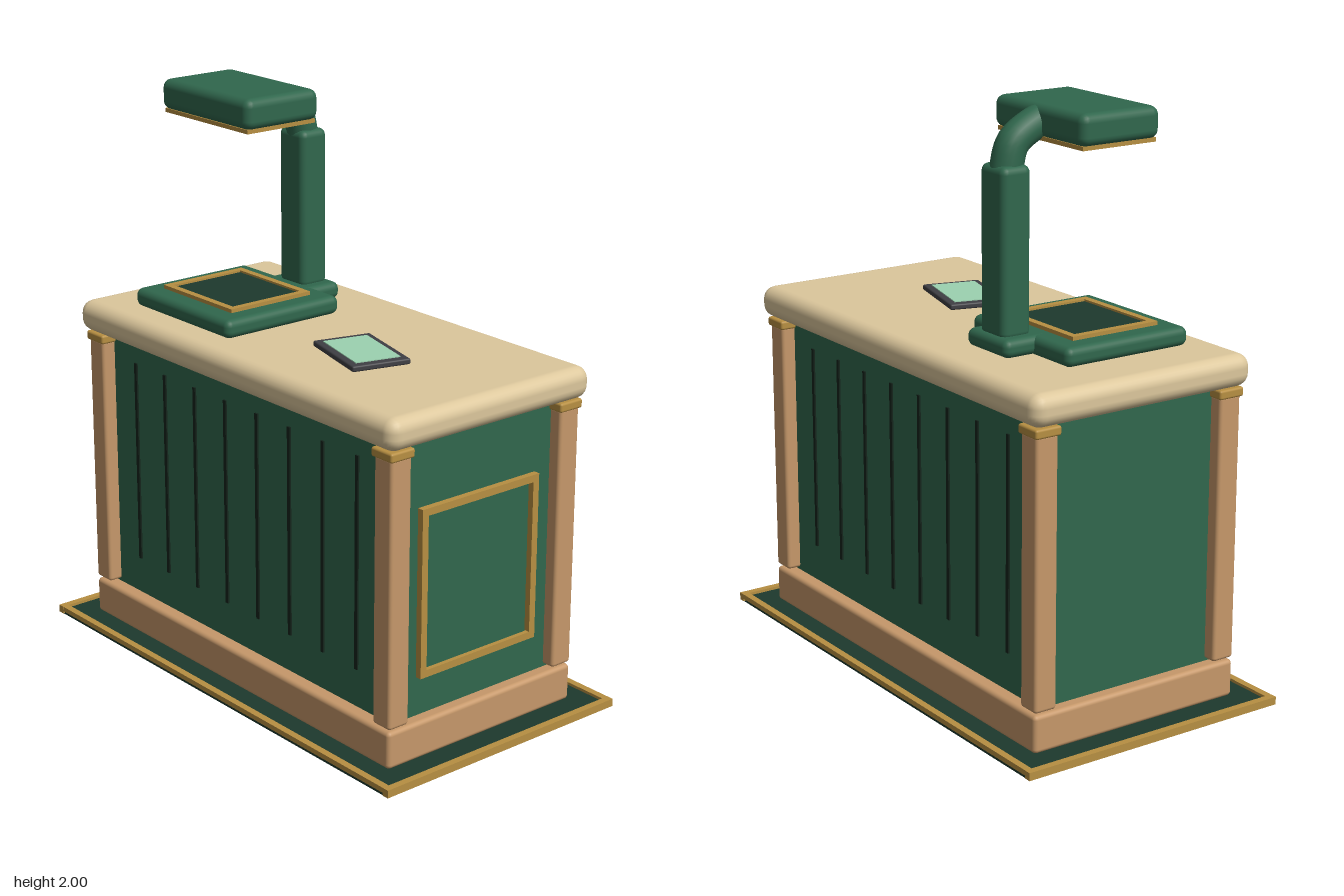
import * as THREE from 'three';
import { RoundedBoxGeometry } from 'three/addons/geometries/RoundedBoxGeometry.js';

const mat = (name, color) => {
  const m = new THREE.MeshStandardMaterial({ color });
  m.name = name;
  return m;
};

export function createModel() {
  const green = mat('green enamel', 0x30674d);
  const darkGreen = mat('dark green', 0x1d392d);
  const groove = mat('groove black green', 0x14231b);
  const cream = mat('cream stone', 0xdcc79c);
  const wood = mat('oak', 0xc6986a);
  const brass = mat('brass', 0xb78f42);
  const charcoal = mat('charcoal', 0x3f3f44);
  const mint = mat('mint glass', 0x9cd2b0);

  const model = new THREE.Group();
  model.name = 'counter';

  // Box from [min, max] on each axis, rounded when r > 0
  function box(name, material, [x0, x1], [y0, y1], [z0, z1], r = 0, parent = model) {
    const size = [x1 - x0, y1 - y0, z1 - z0];
    const geo = r ? new RoundedBoxGeometry(...size, 3, r) : new THREE.BoxGeometry(...size);
    const mesh = new THREE.Mesh(geo, material);
    mesh.name = name;
    mesh.position.set((x0 + x1) / 2, (y0 + y1) / 2, (z0 + z1) / 2);
    parent.add(mesh);
    return mesh;
  }

  // Flat rectangular frame, w x h with bar width b and depth d, lying in XY and centred
  function frame(name, material, w, h, b, d) {
    const rect = (P, a, c) => new P().moveTo(-a, -c).lineTo(a, -c).lineTo(a, c).lineTo(-a, c).closePath();
    const shape = rect(THREE.Shape, w / 2, h / 2);
    shape.holes.push(rect(THREE.Path, w / 2 - b, h / 2 - b));
    const geo = new THREE.ExtrudeGeometry(shape, { depth: d, bevelEnabled: false });
    geo.translate(0, 0, -d / 2);
    const mesh = new THREE.Mesh(geo, material);
    mesh.name = name;
    model.add(mesh);
    return mesh;
  }

  // Floor mat with brass edging
  box('floorMat', darkGreen, [-0.905, 0.905], [0, 0.022], [-0.495, 0.495]);
  for (const s of [-1, 1]) {
    box('matEndTrim', brass, [s * 0.9075 - 0.0125, s * 0.9075 + 0.0125], [0.005, 0.032], [-0.503, 0.503]);
    box('matLongTrim', brass, [-0.9, 0.9], [0.014, 0.032], [s * 0.49 - 0.0125, s * 0.49 + 0.0125]);
  }

  // Cabinet: plinth, body and countertop
  box('plinth', wood, [-0.81, 0.81], [0.022, 0.152], [-0.405, 0.405], 0.015);
  box('body', green, [-0.765, 0.765], [0.14, 1.11], [-0.355, 0.355]);
  box('countertop', cream, [-0.84, 0.84], [1.1, 1.21], [-0.43, 0.43], 0.045);

  // Corner posts with brass caps
  for (const sx of [-1, 1]) {
    for (const sz of [-1, 1]) {
      const x = sx * 0.769, z = sz * 0.362;
      box('cornerPost', wood, [x - 0.042, x + 0.042], [0.16, 1.075], [z - 0.042, z + 0.042], 0.012);
      box('postCap', brass, [x - 0.049, x + 0.049], [1.066, 1.098], [z - 0.049, z + 0.049], 0.008);
    }
  }

  // Vertical grooves on the two long faces
  for (const s of [-1, 1]) {
    for (let i = 0; i < 8; i++) {
      const x = -0.595 + i * 0.17;
      box('groove', groove, [x - 0.007, x + 0.007], [0.285, 1.02], [s * 0.357 - 0.004, s * 0.357 + 0.004]);
    }
  }

  // Framed panel on the left end
  const panelFrame = frame('sidePanelFrame', brass, 0.505, 0.58, 0.025, 0.026);
  panelFrame.rotation.y = Math.PI / 2;
  panelFrame.position.set(0.775, 0.578, 0);
  box('sidePanel', green, [0.764, 0.772], [0.31, 0.846], [-0.222, 0.222]);

  // Scanner base with framed reading bed
  box('scannerBase', green, [-0.65, -0.118], [1.21, 1.275], [-0.17, 0.317], 0.025);
  box('columnFoot', green, [-0.472, -0.245], [1.215, 1.276], [-0.28, -0.1], 0.025);
  const bedFrame = frame('bedFrame', brass, 0.385, 0.34, 0.025, 0.018);
  bedFrame.rotation.x = -Math.PI / 2;
  bedFrame.position.set(-0.384, 1.279, 0.074);
  box('readingBed', darkGreen, [-0.555, -0.213], [1.274, 1.281], [-0.075, 0.223]);

  // Column and bent neck
  box('column', green, [-0.428, -0.292], [1.26, 1.82], [-0.26, -0.148], 0.025);
  const neckPath = new THREE.CurvePath();
  const pts = [[1.76, -0.206], [1.81, -0.2], [1.885, -0.175], [1.94, -0.084], [1.945, -0.06]]
    .map(([y, z]) => new THREE.Vector3(-0.36, y, z));
  for (let i = 1; i < pts.length; i++) neckPath.add(new THREE.LineCurve3(pts[i - 1], pts[i]));
  const neck = new THREE.Mesh(
    new THREE.TubeGeometry(new THREE.CatmullRomCurve3(pts), 12, 0.054, 20), green);
  neck.name = 'neck';
  model.add(neck);

  // Scanner head with brass rim and lamp plate underneath
  box('scannerHead', green, [-0.626, -0.143], [1.895, 2], [-0.102, 0.205], 0.03);
  const headRim = frame('headRim', brass, 0.455, 0.285, 0.025, 0.014);
  headRim.rotation.x = -Math.PI / 2;
  headRim.position.set(-0.384, 1.892, 0.052);
  box('lampPlate', cream, [-0.56, -0.21], [1.879, 1.897], [-0.06, 0.165]);

  // Tablet lying at an angle on the countertop
  const tablet = new THREE.Group();
  tablet.name = 'tablet';
  tablet.position.set(0.28, 1.21, 0.073);
  tablet.rotation.y = -0.26;
  box('tabletCase', charcoal, [-0.153, 0.153], [0, 0.02], [-0.104, 0.104], 0.006, tablet);
  box('tabletScreen', mint, [-0.125, 0.125], [0.016, 0.023], [-0.08, 0.08], 0, tablet);
  model.add(tablet);

  return model;
}
